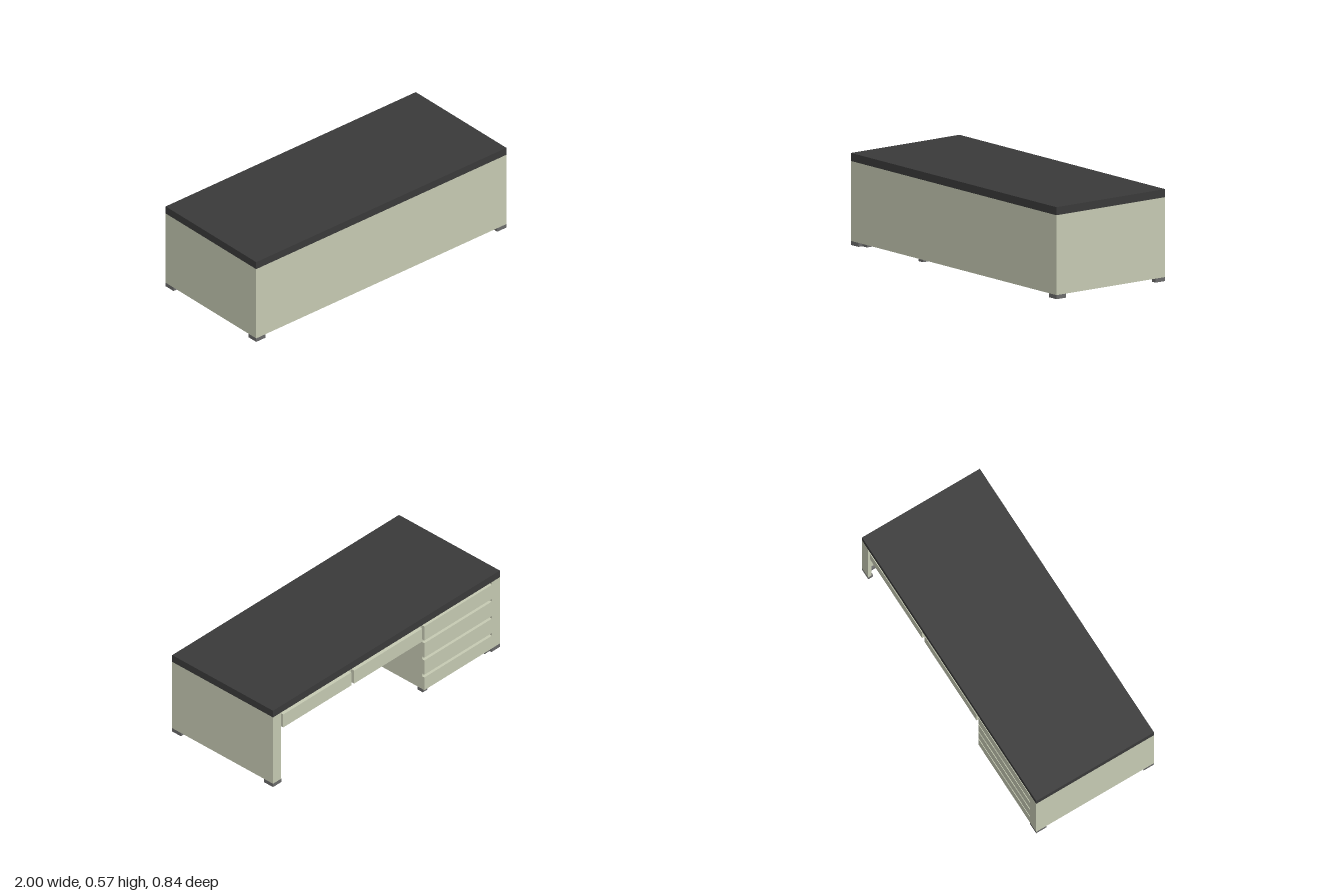
import * as THREE from 'three';

export function createModel() {
  const desk = new THREE.Group();
  desk.name = 'desk';
  const paint = new THREE.MeshStandardMaterial({ color: 0xc6cab3 });
  paint.name = 'sage paint';
  const slate = new THREE.MeshStandardMaterial({ color: 0x3a3a3a });
  slate.name = 'dark desktop';
  const rubber = new THREE.MeshStandardMaterial({ color: 0x6b6b6b });
  rubber.name = 'grey feet';

  // Box given by its extents on each axis
  function block(name, mat, [x0, x1], [y0, y1], [z0, z1]) {
    const mesh = new THREE.Mesh(new THREE.BoxGeometry(x1 - x0, y1 - y0, z1 - z0), mat);
    mesh.position.set((x0 + x1) / 2, (y0 + y1) / 2, (z0 + z1) / 2);
    mesh.name = name;
    desk.add(mesh);
    return mesh;
  }

  const base = 0.025, under = 0.52, back = -0.42, front = 0.42;

  // Desktop slab and full-width front panel
  block('desktop', slate, [-1, 1], [under, 0.57], [back, front]);
  block('frontPanel', paint, [-0.98, 0.98], [base, under], [0.395, front]);

  // L-shaped corner foot: s and t point into the desk along x and z
  function cornerFoot(x, z, s, t) {
    const a = 0.073, w = 0.035;
    const shape = new THREE.Shape();
    [[0, 0], [a, 0], [a, w], [w, w], [w, a], [0, a]].forEach(([u, v], i) =>
      i ? shape.lineTo(u * s, -v * t) : shape.moveTo(u * s, -v * t));
    const geo = new THREE.ExtrudeGeometry(shape, { depth: base, bevelEnabled: false });
    const foot = new THREE.Mesh(geo.rotateX(-Math.PI / 2), rubber);
    foot.position.set(x, 0, z);
    foot.name = 'cornerFoot';
    desk.add(foot);
  }

  // End panels with a return flange along the rear edge
  for (const s of [-1, 1]) {
    const span = (a, b) => (s > 0 ? [a, b] : [-b, -a]);
    block('endPanel', paint, span(0.98, 1), [base, under], [back, front]);
    block('rearFlange', paint, span(0.93, 0.98), [base, under], [back, -0.395]);
    for (const t of [-1, 1]) cornerFoot(s, t * 0.42, -s, -t);
  }

  // Drawer pedestal with grip slots above each drawer front
  const px = [-0.93, -0.335];
  block('pedestal', paint, px, [base, under], [-0.4, 0.395]);
  const slots = [0.13, 0.257, 0.385, 0.51];
  slots.forEach((y, i) => {
    const bottom = i ? slots[i - 1] + 0.01 : base;
    block('pedestalDrawer', paint, px, [bottom, y - 0.01], [back, -0.4]);
  });

  // Small feet under the pedestal corners
  for (const x of [-0.925, -0.38])
    for (const z of [-0.405, 0.345])
      block('pedestalFoot', rubber, [x, x + 0.043], [0, base], [z, z + 0.045]);

  // Shallow drawer case over the kneehole, with two fronts
  block('kneeholeCase', paint, [-0.335, 0.98], [0.4, under], [-0.395, 0.395]);
  for (const [a, b] of [[-0.315, 0.285], [0.31, 0.91]])
    block('kneeholeDrawer', paint, [a, b], [0.398, 0.495], [back, -0.395]);

  return desk;
}
